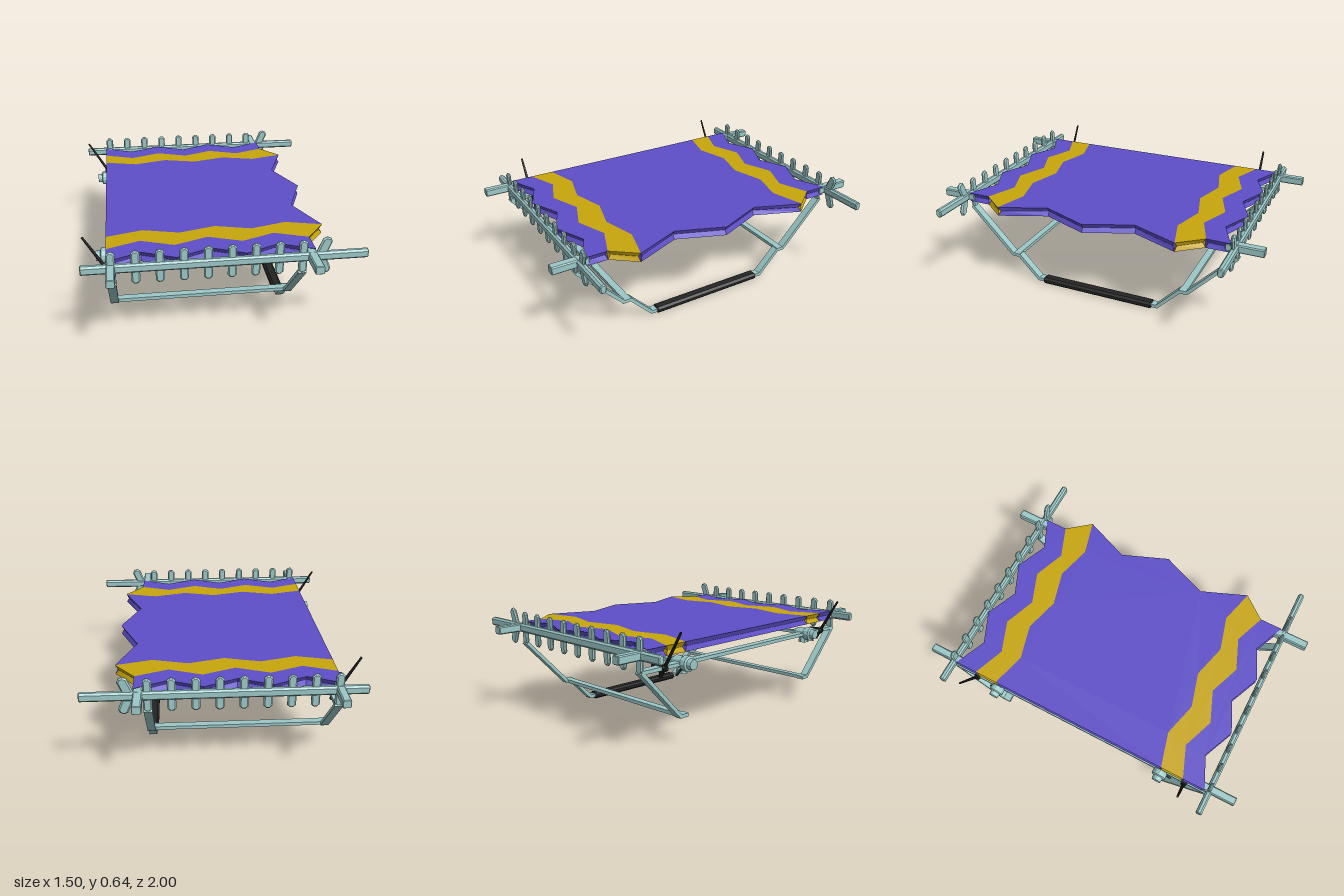
import * as THREE from 'three';

const material = (color) => new THREE.MeshStandardMaterial({ color, flatShading: true });

export function createModel() {
  const model = new THREE.Group();
  const teal = material(0x9cc8c8), purple = material(0x5e4fc9), gold = material(0xc8a60c), black = material(0x242424);

  function add(name, geometry, mat, x = 0, y = 0, z = 0) {
    const mesh = new THREE.Mesh(geometry, mat);
    mesh.name = name;
    mesh.position.set(x, y, z);
    model.add(mesh);
    return mesh;
  }

  // Centred box whose edges are all cut by a single bevel
  function chamferBox(w, h, d, c) {
    const x = w / 2, y = h / 2;
    const shape = new THREE.Shape([
      [-x + c, -y], [x - c, -y], [x, -y + c], [x, y - c],
      [x - c, y], [-x + c, y], [-x, y - c], [-x, -y + c],
    ].map((p) => new THREE.Vector2(...p)));
    const g = new THREE.ExtrudeGeometry(shape, {
      depth: d - c, bevelEnabled: true, bevelThickness: c / 2, bevelSize: c / 2, bevelOffset: -c / 2, bevelSegments: 1,
    });
    return g.translate(0, 0, -(d - c) / 2);
  }

  // Flat bar at constant x running between two [z, y] points
  function bar(name, x, [z1, y1], [z2, y2]) {
    const length = Math.hypot(z2 - z1, y2 - y1);
    const mesh = add(name, new THREE.BoxGeometry(0.046, 0.02, length + 0.012), teal, x, (y1 + y2) / 2, (z1 + z2) / 2);
    mesh.rotation.x = -Math.atan2(y2 - y1, z2 - z1);
  }

  // Slab with a grooved edge, from [x, z] outline points
  function slab(name, points, mat) {
    const shape = new THREE.Shape(points.map(([x, z]) => new THREE.Vector2(x, -z)));
    const g = new THREE.ExtrudeGeometry(shape, {
      depth: 0.001, bevelEnabled: true, bevelThickness: 0.026, bevelSize: -0.014, bevelSegments: 1,
    });
    add(name, g.rotateX(-Math.PI / 2), mat, 0, 0.53, 0);
  }

  // Zigzag line of seven points from x1 to x2
  const zigzag = (x1, x2, zOut, zIn) =>
    Array.from({ length: 7 }, (_, i) => [x1 + (x2 - x1) * i / 6, i % 2 ? zIn : zOut]);
  const mirror = (points) => points.map(([x, z]) => [x, -z]);

  // Cloth: striped ends and a middle with a toothed side
  const outer = zigzag(-0.62, 0.475, 0.82, 0.74);
  const seam = zigzag(-0.62, 0.475, 0.685, 0.615);
  const inner = zigzag(-0.62, 0.585, 0.547, 0.493);
  const endBand = [...outer, ...[...seam].reverse()];
  const stripe = [...seam, ...[...inner].reverse()];
  slab('clothMiddle', [...inner, [0.475, 0.275], [0.585, 0], [0.475, -0.275], ...mirror(inner).reverse()], purple);
  slab('clothEndFront', endBand, purple);
  slab('clothEndBack', mirror(endBand), purple);
  slab('clothStripeFront', stripe, gold);
  slab('clothStripeBack', mirror(stripe), gold);

  const picket = chamferBox(0.046, 0.19, 0.02, 0.014);
  const halfPicket = chamferBox(0.055, 0.115, 0.02, 0.016);
  const rail = chamferBox(0.035, 0.05, 1.5, 0.01).rotateY(Math.PI / 2);

  // Reel turned around the x axis
  const reel = new THREE.LatheGeometry([
    [0, -0.68], [0.028, -0.68], [0.03, -0.655], [0.043, -0.65], [0.043, -0.622],
    [0.034, -0.605], [0.034, -0.555], [0.018, -0.525], [0, -0.52],
  ].map(([r, x]) => new THREE.Vector2(r, x)), 12).rotateZ(-Math.PI / 2);

  for (const s of [1, -1]) {
    // End rail with its pickets
    add('endRail', rail, teal, 0, 0.53, s * 0.845);
    for (let i = 0; i < 9; i++) add('picket', picket, teal, -0.595 + i * 0.1245, 0.53, s * 0.843);
    for (const v of [1, -1]) {
      add('splayedPicket', halfPicket, teal, 0.512, 0.53 + v * 0.05, s * 0.843).rotation.z = -v * 0.38;
    }

    // Carrying handles
    add('handle', chamferBox(0.046, 0.046, 0.2, 0.006), teal, -0.597, 0.531, s * 0.9);
    add('handle', chamferBox(0.05, 0.046, 0.21, 0.006), teal, 0.45, 0.531, s * 0.895);

    // Legs: short on one side, reaching the ground on the other
    bar('shortLeg', -0.595, [s * 0.845, 0.44], [s * 0.575, 0.16]);
    bar('shortLegFoot', -0.595, [s * 0.575, 0.16], [s * 0.53, 0.16]);
    const path = [[0.845, 0.44], [0.575, 0.16], [0.53, 0.16], [0.395, 0.022], [0.33, 0.022]];
    for (let i = 0; i < 4; i++) {
      bar('longLeg', 0.4, [s * path[i][0], path[i][1]], [s * path[i + 1][0], path[i + 1][1]]);
    }

    // Cross bars and the clamp on the upper one
    add('lowerCrossBar', new THREE.BoxGeometry(1, 0.02, 0.042), teal, -0.097, 0.16, s * 0.552);
    add('upperCrossBar', new THREE.BoxGeometry(1, 0.018, 0.03), teal, -0.097, 0.445, s * 0.552);
    add('clamp', chamferBox(0.075, 0.038, 0.05, 0.01), black, -0.1, 0.443, s * 0.552);

    // Reel with its base and crank
    add('reel', reel, teal, 0, 0.445, s * 0.55);
    add('reelBase', new THREE.CylinderGeometry(0.024, 0.032, 0.05, 8), teal, -0.595, 0.415, s * 0.55);
    add('reelCrank', new THREE.BoxGeometry(0.012, 0.006, 0.08), black, -0.62, 0.415, s * 0.585).rotation.x = s * 0.65;

    // Slanted spike and its holder
    const spike = add('spike', new THREE.CylinderGeometry(0.006, 0.011, 0.29, 6), black, -0.662, 0.517, s * 0.7);
    spike.rotation.z = 0.53;
    add('spikeHolder', chamferBox(0.1, 0.034, 0.034, 0.01), black, -0.585, 0.442, s * 0.7);
    add('spikeTip', new THREE.CylinderGeometry(0.011, 0.005, 0.04, 6), black, -0.59, 0.408, s * 0.7);
  }

  // Long side rail and the padded ground grip
  add('sideRail', new THREE.BoxGeometry(0.046, 0.02, 1.7), teal, -0.595, 0.443, 0);
  add('groundBar', new THREE.BoxGeometry(0.046, 0.02, 0.7), teal, 0.4, 0.022, 0);
  add('groundGrip', chamferBox(0.064, 0.04, 0.72, 0.012), black, 0.4, 0.02, 0);

  return model;
}
